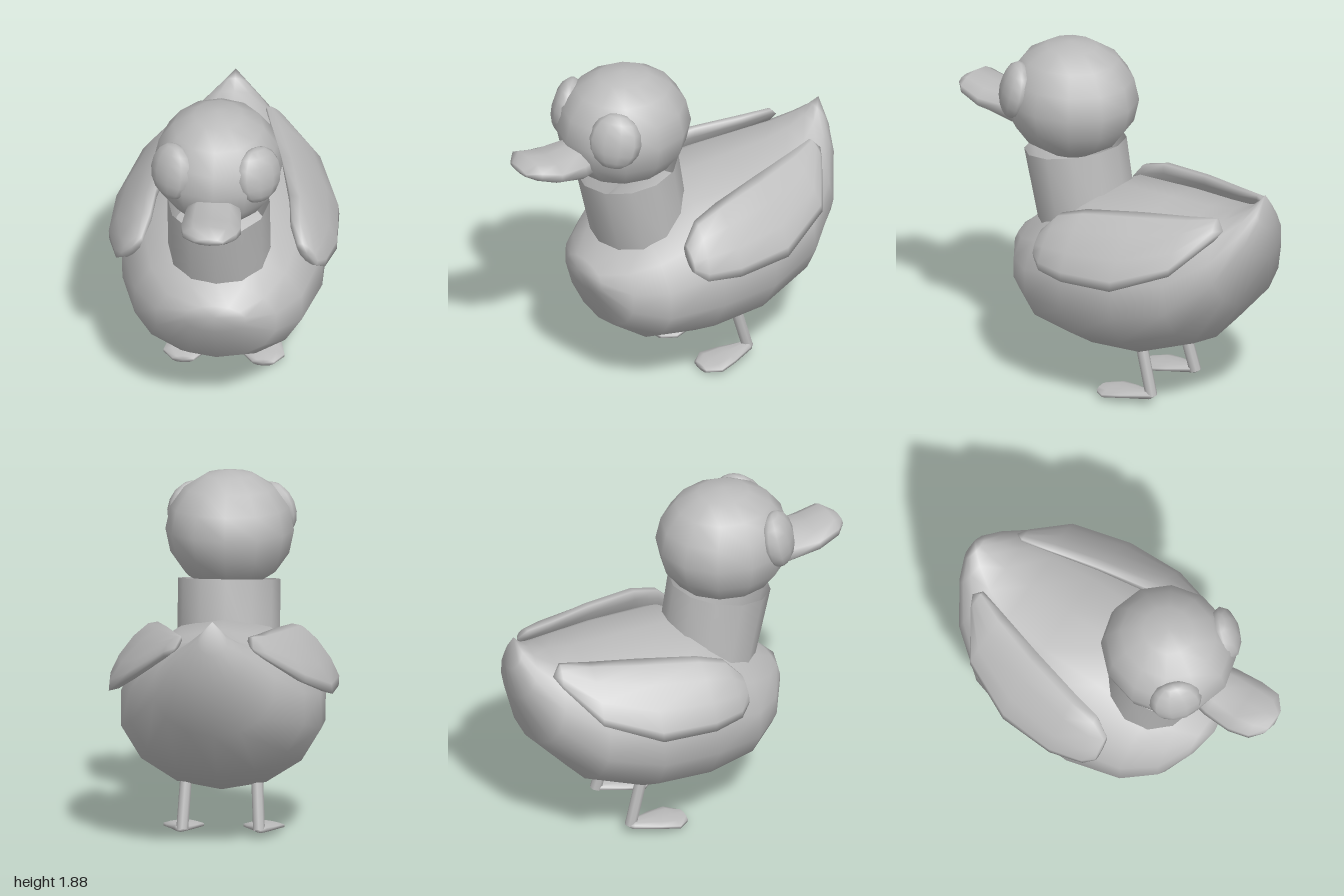
import * as THREE from 'three';
import { mergeVertices } from 'three/addons/utils/BufferGeometryUtils.js';

const grey = new THREE.MeshStandardMaterial({ color: 0xbcbcbc, side: THREE.DoubleSide });
grey.name = 'plain grey';

const V = (x, y, z) => new THREE.Vector3(x, y, z);

// Skin over oval rings; each ring is [edge a, edge b, half-width vector]
function loft(rings, sides) {
  const pos = [], index = [];
  rings.forEach(([a, b, side], j) => {
    const mid = a.clone().add(b).multiplyScalar(0.5);
    const half = a.clone().sub(b).multiplyScalar(0.5);
    for (let i = 0; i < sides; i++) {
      const t = (i / sides) * Math.PI * 2;
      const p = mid.clone().addScaledVector(half, Math.cos(t)).addScaledVector(side, Math.sin(t));
      pos.push(p.x, p.y, p.z);
      if (j === rings.length - 1) continue;
      const p0 = j * sides + i, p1 = j * sides + (i + 1) % sides;
      index.push(p0, p1, p0 + sides, p1, p1 + sides, p0 + sides);
    }
  });
  const g = new THREE.BufferGeometry();
  g.setAttribute('position', new THREE.Float32BufferAttribute(pos, 3));
  g.setIndex(index);
  const merged = mergeVertices(g, 1e-4);
  merged.computeVertexNormals();
  return merged;
}

// Ring symmetric about x = 0: a at (za, ya), b at (zb, yb), half width w
const ring = ([za, ya, zb, yb, w]) => [V(0, ya, za), V(0, yb, zb), V(w, 0, 0)];

function add(parent, name, geometry) {
  const m = new THREE.Mesh(geometry, grey);
  m.name = name;
  parent.add(m);
  return m;
}

export function createModel() {
  const duck = new THREE.Group();
  duck.name = 'duck';

  // Body, from chest to upturned tail
  add(duck, 'body', loft([
    [0.60, 0.75, 0.60, 0.75, 0],
    [0.55, 0.79, 0.56, 0.63, 0.17],
    [0.45, 0.88, 0.46, 0.40, 0.33],
    [0.30, 0.98, 0.29, 0.285, 0.46],
    [0.02, 1.13, 0.00, 0.24, 0.55],
    [-0.35, 1.14, -0.30, 0.26, 0.55],
    [-0.60, 1.145, -0.64, 0.39, 0.48],
    [-0.76, 1.17, -0.89, 0.66, 0.33],
    [-0.87, 1.215, -0.985, 0.95, 0.18],
    [-0.925, 1.26, -1.0, 1.12, 0.08],
    [-0.96, 1.30, -0.96, 1.30, 0],
  ].map(ring), 14));

  // Neck, an open leaning tube
  add(duck, 'neck', loft([
    [0.00, 1.345, 0.55, 1.25, 0.275],
    [-0.06, 0.95, 0.455, 0.86, 0.275],
  ].map(ring), 12));

  // Head
  const head = add(duck, 'head', new THREE.SphereGeometry(1, 12, 8));
  head.scale.set(0.345, 0.325, 0.37);
  head.position.set(0, 1.56, 0.30);

  // Beak, from tip back into the head
  add(duck, 'beak', loft([
    [0.995, 1.50, 0.995, 1.50, 0],
    [0.985, 1.52, 0.97, 1.47, 0.08],
    [0.92, 1.56, 0.92, 1.44, 0.15],
    [0.80, 1.53, 0.80, 1.39, 0.168],
    [0.66, 1.54, 0.62, 1.345, 0.155],
    [0.50, 1.54, 0.48, 1.36, 0.12],
    [0.46, 1.45, 0.46, 1.45, 0],
  ].map(ring), 10));

  // Wing stations: upper inner edge, lower outer edge, half thickness
  const wing = [
    [0.47, 0.91, 0.195, 0.47, 0.91, 0.195, 0],
    [0.42, 0.97, 0.19, 0.52, 0.84, 0.19, 0.035],
    [0.38, 1.07, 0.10, 0.56, 0.79, 0.13, 0.055],
    [0.36, 1.12, -0.05, 0.61, 0.785, -0.05, 0.06],
    [0.29, 1.155, -0.36, 0.60, 0.80, -0.36, 0.055],
    [0.22, 1.17, -0.62, 0.48, 0.92, -0.66, 0.045],
    [0.18, 1.185, -0.78, 0.27, 1.08, -0.80, 0.03],
    [0.21, 1.13, -0.83, 0.21, 1.13, -0.83, 0],
  ];

  for (const s of [1, -1]) {
    const label = s > 0 ? 'left' : 'right';

    add(duck, label + 'Wing', loft(wing.map(([ax, ay, az, bx, by, bz, h]) => [
      V(s * ax, ay, az), V(s * bx, by, bz), V(0.77 * h, 0.63 * s * h, 0),
    ]), 10));

    // Bulging eye, flattened along its outward direction
    const eye = add(duck, label + 'Eye', new THREE.SphereGeometry(1, 10, 8));
    eye.scale.set(0.145, 0.157, 0.08);
    eye.position.set(s * 0.23, 1.63, 0.51);
    eye.quaternion.setFromUnitVectors(V(0, 0, 1), V(s * 0.68, 0.2, 0.7).normalize());

    // Leg
    const leg = new THREE.TubeGeometry(
      new THREE.LineCurve3(V(s * 0.19, 0.33, -0.285), V(s * 0.206, 0.05, -0.362)), 1, 0.032, 8);
    add(duck, label + 'Leg', leg);

    // Webbed foot, from toe to heel
    const foot = add(duck, label + 'Foot', loft([
      [-0.04, 0.03, -0.04, 0.03, 0],
      [-0.05, 0.047, -0.055, 0.003, 0.06],
      [-0.12, 0.055, -0.12, 0.008, 0.115],
      [-0.22, 0.067, -0.22, 0.02, 0.09],
      [-0.35, 0.08, -0.365, 0.037, 0.036],
      [-0.39, 0.058, -0.39, 0.058, 0],
    ].map(ring), 10));
    foot.position.x = s * 0.215;
  }

  return duck;
}
